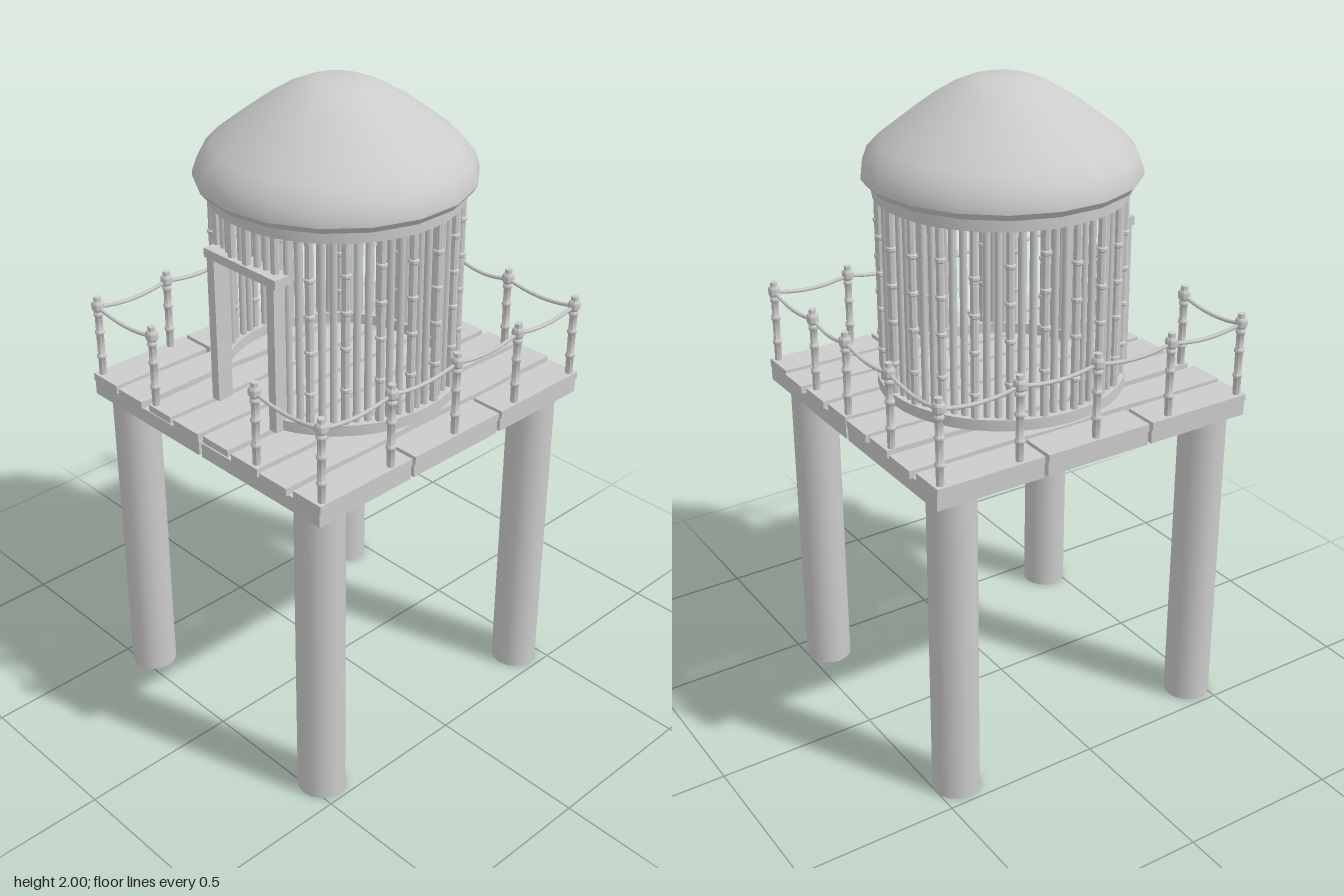
import * as THREE from 'three';
import { toCreasedNormals } from 'three/addons/utils/BufferGeometryUtils.js';

export function createModel() {
  const model = new THREE.Group();
  const mat = new THREE.MeshStandardMaterial({ color: 0xcccccc });
  const deckY = 1.078;

  const add = (name, geo, parent = model, x = 0, y = 0, z = 0) => {
    const mesh = new THREE.Mesh(geo, mat);
    mesh.name = name;
    mesh.position.set(x, y, z);
    parent.add(mesh);
    return mesh;
  };
  const group = (name) => {
    const g = new THREE.Group();
    g.name = name;
    model.add(g);
    return g;
  };
  const box = (name, parent, x0, x1, y0, y1, z0, z1) =>
    add(name, new THREE.BoxGeometry(x1 - x0, y1 - y0, z1 - z0), parent,
      (x0 + x1) / 2, (y0 + y1) / 2, (z0 + z1) / 2);
  const lathe = (pts, sides) => toCreasedNormals(
    new THREE.LatheGeometry(pts.map(([r, y]) => new THREE.Vector2(r, y)), sides), 0.7);

  // Seeded variation
  let seed = 7;
  const rand = () => (seed = (seed * 16807) % 2147483647) / 2147483647;

  // Stilts
  const stilts = group('stilts');
  for (const x of [-0.41, 0.41]) {
    for (const z of [-0.43, 0.455]) {
      add('stilt', new THREE.CylinderGeometry(0.072, 0.072, 1.015, 16), stilts, x, 0.5075, z);
    }
  }

  // Deck frame: six open rectangular modules with narrow gaps
  const frame = group('deckFrame');
  const t = 0.026;
  const rows = [[-0.53, -0.185], [-0.172, 0.175], [0.188, 0.535]];
  for (const [x0, x1] of [[-0.5, -0.006], [0.006, 0.495]]) {
    for (const [z0, z1] of rows) {
      box('crossBeam', frame, x0, x1, 1.01, 1.056, z0, z0 + t);
      box('crossBeam', frame, x0, x1, 1.01, 1.056, z1 - t, z1);
      box('sideBeam', frame, x0, x0 + t, 1.01, 1.056, z0 + t, z1 - t);
      box('sideBeam', frame, x1 - t, x1, 1.01, 1.056, z0 + t, z1 - t);
    }
  }

  // Deck planks: outer ones in three pieces, inner ones long with wavy edges
  const planks = group('deckPlanks');
  for (const [x0, x1] of [[-0.505, -0.392], [0.392, 0.5]]) {
    for (const [z0, z1] of rows) box('edgePlank', planks, x0, x1, 1.054, deckY, z0, z1);
  }
  const inner = [[-0.374, -0.264, 0.54], [-0.238, -0.138, 0.532], [-0.121, -0.009, 0.535],
    [0.008, 0.115, 0.53], [0.135, 0.245, 0.535], [0.263, 0.373, 0.543]];
  inner.forEach(([x0, x1, half], i) => {
    const geo = new THREE.BoxGeometry(x1 - x0, deckY - 1.054, half * 2, 1, 1, 14);
    const p = geo.attributes.position;
    for (let k = 0; k < p.count; k++) {
      const z = p.getZ(k);
      const side = Math.sign(p.getX(k));
      p.setX(k, p.getX(k) + 0.007 * Math.sin(z * 13 + i * 2 + side) * (1 - Math.abs(z) / half));
    }
    geo.computeVertexNormals();
    add('plank', geo, planks, (x0 + x1) / 2, (1.054 + deckY) / 2, 0);
  });

  // Bamboo pole: a lathe with a raised ring at each node height
  const bamboo = (r, h, nodes, sides) => {
    const pts = [[0, 0], [r, 0]];
    for (const n of nodes) {
      pts.push([r, n - 0.008], [r * 1.3, n - 0.004], [r * 1.3, n + 0.004], [r, n + 0.008]);
    }
    pts.push([r, h], [0, h]);
    return lathe(pts, sides);
  };

  // Hut wall: ring of poles, shortened above the doorway
  const wall = group('hutWall');
  const count = 68, doorTop = 1.55, wallTop = 1.685;
  for (let i = 0; i < count; i++) {
    const a = ((i + 0.5) / count) * Math.PI * 2;
    const thick = i % 3 === 0;
    const radius = thick ? 0.357 : 0.348;
    const x = radius * Math.sin(a), z = radius * Math.cos(a);
    const base = z > 0 && Math.abs(x) < 0.125 ? doorTop : deckY;
    const h = wallTop - base;
    const shift = rand() * 0.08;
    const nodes = base === deckY ? [0.1, 0.23, 0.34, 0.45].map((n) => n + shift) : [];
    const geo = thick ? bamboo(0.0125, h, nodes, 8) : new THREE.CylinderGeometry(0.011, 0.011, h, 7);
    add(thick ? 'bambooPole' : 'thinPole', geo, wall, x, thick ? base : base + h / 2, z);
  }

  // Rings holding the poles; the lower one leaves the doorway free
  const ring = (name, y0, y1, start, length) => {
    const pts = [[0.333, y0], [0.373, y0], [0.373, y1], [0.333, y1], [0.333, y0]];
    add(name, toCreasedNormals(new THREE.LatheGeometry(
      pts.map(([r, y]) => new THREE.Vector2(r, y)), 36, start, length), 0.7), wall);
  };
  ring('upperRing', 1.67, 1.706, 0, Math.PI * 2);
  ring('lowerRing', deckY, 1.112, 0.36, Math.PI * 2 - 0.72);

  // Door frame
  const door = group('doorFrame');
  for (const s of [-1, 1]) {
    const x = s * 0.126;
    box('doorPost', door, x - 0.015, x + 0.015, deckY, 1.535, 0.318, 0.37);
  }
  box('lintel', door, -0.148, 0.152, 1.533, 1.56, 0.316, 0.374);

  // Domed roof with a rolled eave
  add('roof', lathe([[0, 1.706], [0.375, 1.706], [0.392, 1.708], [0.407, 1.728], [0.405, 1.745],
    [0.39, 1.785], [0.352, 1.825], [0.29, 1.873], [0.22, 1.925], [0.15, 1.968],
    [0.1, 1.99], [0.065, 1.999], [0, 2]], 18), model, 0, 0, 0.002);

  // Railing posts run round the deck from one side of the entry to the other
  const railing = group('railing');
  const xL = -0.485, xR = 0.483, zB = -0.51, zF = 0.515;
  const spots = [[-0.225, zF], [xL, zF], [xL, 0.257], [xL, 0], [xL, -0.257], [xL, zB],
    [-0.225, zB], [0.025, zB], [0.225, zB], [xR, zB], [xR, -0.257], [xR, 0],
    [xR, 0.257], [xR, zF], [0.222, zF]];
  const postGeo = bamboo(0.0115, 0.257, [0.06, 0.14, 0.2], 8);
  const capGeo = lathe([[0, -0.016], [0.014, -0.016], [0.019, -0.008], [0.019, 0.008],
    [0.014, 0.016], [0, 0.016]], 8);
  spots.forEach(([x, z], i) => {
    add('railPost', postGeo, railing, x, deckY, z);
    add('railKnot', capGeo, railing, x, 1.305, z);
    if (i === 0) return;
    // Sagging rope back to the previous post
    const a = new THREE.Vector3(spots[i - 1][0], 1.303, spots[i - 1][1]);
    const b = new THREE.Vector3(x, 1.303, z);
    const mid = a.clone().lerp(b, 0.5).setY(1.27);
    const curve = new THREE.QuadraticBezierCurve3(a, mid, b);
    add('rope', new THREE.TubeGeometry(curve, 8, 0.006, 6), railing);
  });

  return model;
}
